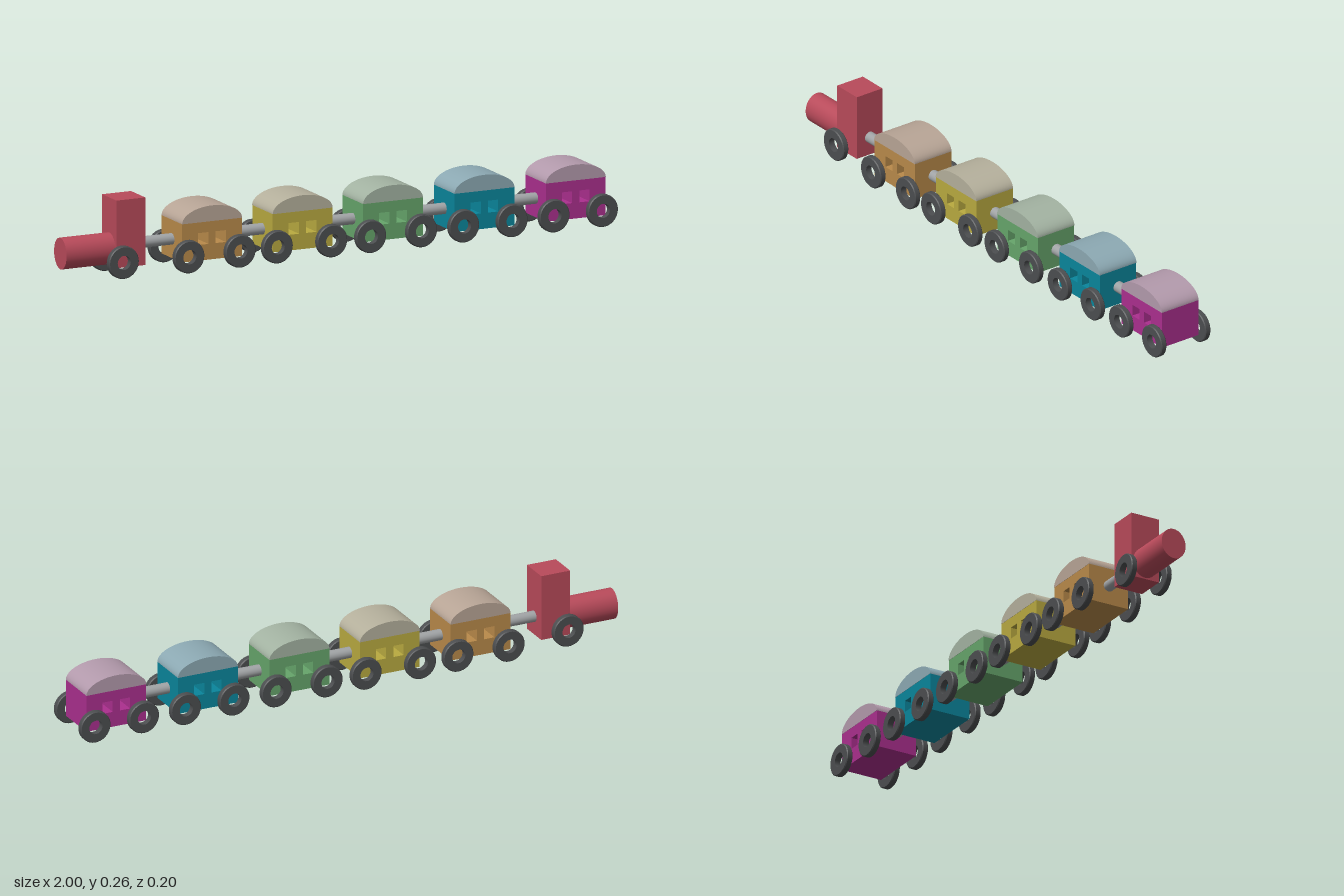
import * as THREE from 'three';

const mat = (color) => new THREE.MeshStandardMaterial({ color });
const RED = mat(0xb84a5a), DARK = mat(0x4c4e50), GREY = mat(0xa0a3a5);

function add(parent, name, geometry, material, x = 0, y = 0, z = 0) {
  const mesh = new THREE.Mesh(geometry, material);
  mesh.name = name;
  mesh.position.set(x, y, z);
  parent.add(mesh);
  return mesh;
}

// Ring-shaped wheel with softened rim, open at the hub, axle along z
function wheelGeometry() {
  const r = 0.055, hub = 0.024, h = 0.011, b = 0.003;
  const profile = [[hub, -h], [r - b, -h], [r - b, -h], [r, -h + b], [r, -h + b], [r, h - b], [r, h - b],
    [r - b, h], [r - b, h], [hub, h], [hub, h], [hub, -h]];
  return new THREE.LatheGeometry(profile.map(([x, y]) => new THREE.Vector2(x, y)), 36).rotateX(Math.PI / 2);
}

// Car body: a box pierced from side to side by two square windows
function bodyGeometry(w, y0, y1, depth) {
  const shape = new THREE.Shape();
  shape.moveTo(-w, y0).lineTo(w, y0).lineTo(w, y1).lineTo(-w, y1).closePath();
  for (const x of [-0.032, 0.032]) {
    const s = 0.019, hole = new THREE.Path();
    hole.moveTo(x - s, 0.088).lineTo(x - s, 0.128).lineTo(x + s, 0.128).lineTo(x + s, 0.088).closePath();
    shape.holes.push(hole);
  }
  return new THREE.ExtrudeGeometry(shape, { depth, bevelEnabled: false }).translate(0, 0, -depth / 2);
}

// Arched roof: half an elliptical cylinder lying along z
function roofGeometry(w, h, depth) {
  const shape = new THREE.Shape();
  shape.moveTo(w, 0).absellipse(0, 0, w, h, 0, Math.PI, false, 0);
  shape.closePath();
  return new THREE.ExtrudeGeometry(shape, { depth, bevelEnabled: false, curveSegments: 32 })
    .translate(0, 0, -depth / 2);
}

export function createModel() {
  const train = new THREE.Group();
  train.name = 'toyTrain';
  const wheel = wheelGeometry();
  const body = bodyGeometry(0.11, 0.035, 0.164, 0.15);
  const roof = roofGeometry(0.11, 0.053, 0.152);

  // Engine: boiler, tall cab and one pair of wheels
  const engine = new THREE.Group();
  engine.name = 'engine';
  train.add(engine);
  const boiler = new THREE.CylinderGeometry(1, 1, 0.185, 32).rotateZ(Math.PI / 2).scale(1, 0.053, 0.046);
  add(engine, 'boiler', boiler, RED, -0.9075, 0.092, 0);
  add(engine, 'cab', new THREE.BoxGeometry(0.106, 0.228, 0.106), RED, -0.767, 0.149, 0);
  add(engine, 'engineWheelLeft', wheel, DARK, -0.805, 0.057, 0.069);
  add(engine, 'engineWheelRight', wheel, DARK, -0.805, 0.057, -0.064);

  // Cars: centre, wheel positions, body and roof colours
  const cars = [
    [-0.48, [-0.575, -0.387], 0xb98a4a, 0xb8a596],
    [-0.147, [-0.25, -0.05], 0xb9aa40, 0xb5b09c],
    [0.185, [0.093, 0.28], 0x66a56b, 0xa3b3a2],
    [0.521, [0.435, 0.613], 0x0a869c, 0x8ca9b3],
    [0.857, [0.767, 0.945], 0xab2f8e, 0xb39aac],
  ];
  let previousEnd = -0.714;
  cars.forEach(([x, axles, bodyColor, roofColor], i) => {
    const car = new THREE.Group();
    car.name = `car${i + 1}`;
    train.add(car);
    add(car, 'carBody', body, mat(bodyColor), x, 0, 0);
    add(car, 'carRoof', roof, mat(roofColor), x, 0.164, 0);
    for (const ax of axles)
      for (const side of [-1, 1]) add(car, 'carWheel', wheel, DARK, ax, 0.057, side * 0.091);

    // Coupling rod to the vehicle in front
    const length = x - 0.11 - previousEnd;
    const rod = new THREE.CylinderGeometry(0.019, 0.019, length, 20).rotateZ(Math.PI / 2);
    add(train, 'couplingRod', rod, GREY, previousEnd + length / 2, 0.1, 0);
    previousEnd = x + 0.11;
  });
  return train;
}
